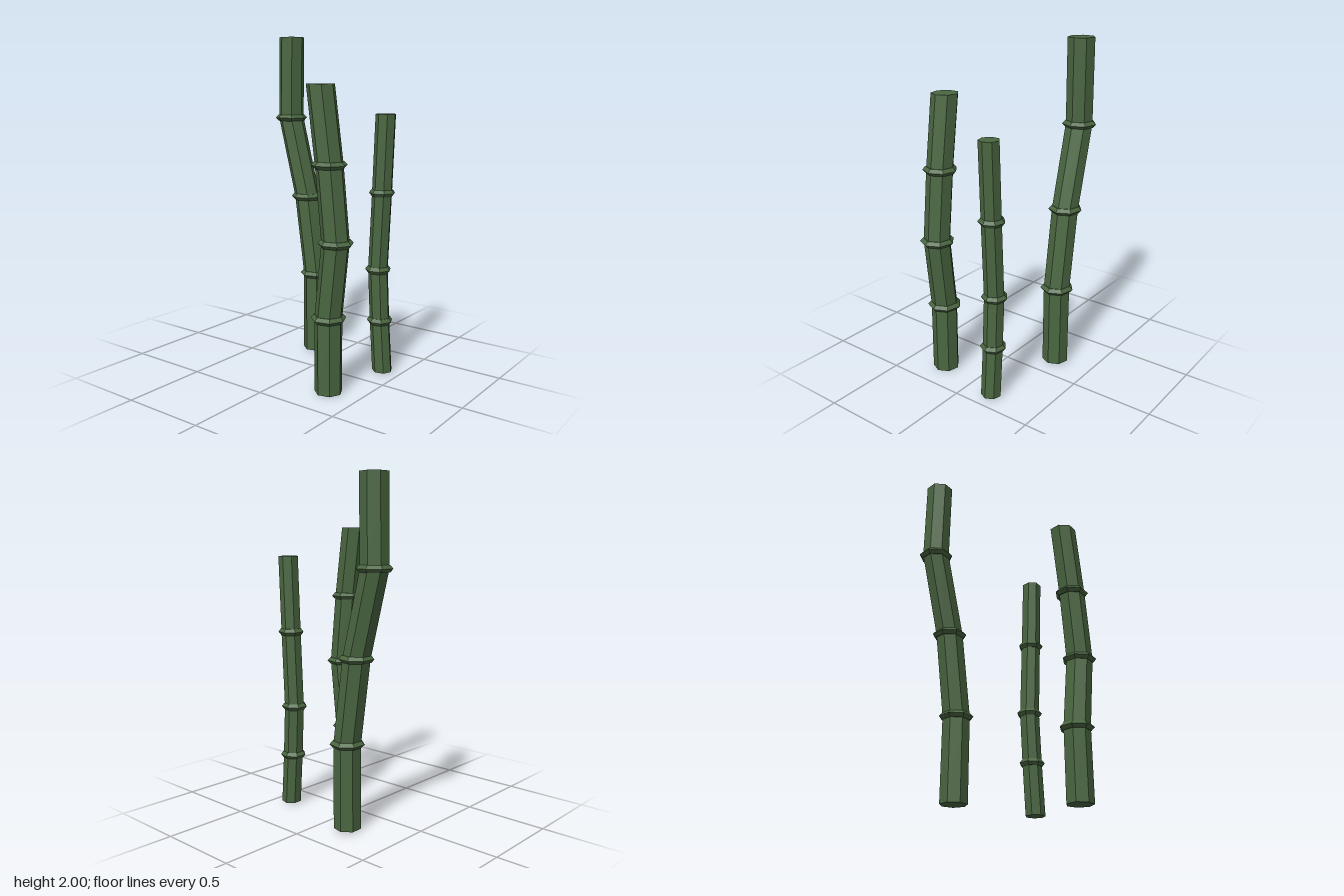
import * as THREE from 'three';

const SIDES = 7;

// Heptagonal tube whose level sections follow a path of [y, z] points
function bentStalk(path, radius) {
  const geo = new THREE.CylinderGeometry(radius, radius, 1, SIDES, path.length - 1);
  const pos = geo.attributes.position;
  for (let i = 0; i < pos.count; i++) {
    const k = Math.round((pos.getY(i) + 0.5) * (path.length - 1));
    const [y, z] = path[k];
    pos.setY(i, y);
    pos.setZ(i, pos.getZ(i) + z);
  }
  geo.computeVertexNormals();
  return geo;
}

// Bevelled ridge around a joint
function jointRing(radius, ringRadius) {
  const h = 0.02;
  const profile = [[radius * 0.97, -h], [radius * 1.04, -h], [ringRadius, 0], [radius * 1.04, h], [radius * 0.97, h]];
  return new THREE.LatheGeometry(profile.map(([r, y]) => new THREE.Vector2(r, y)), SIDES);
}

export function createModel() {
  const model = new THREE.Group();
  model.name = 'bambooStalks';
  const green = new THREE.MeshStandardMaterial({ color: 0x4a6741, flatShading: true });
  green.name = 'bambooGreen';

  // Each path runs from the foot through the joints to the top
  const stalks = [
    { name: 'rightStalk', x: -0.255, r: 0.08, ring: 0.102,
      path: [[0, 0.30], [0.43, 0.298], [0.86, 0.344], [1.285, 0.3], [1.715, 0.24]] },
    { name: 'frontStalk', x: 0.174, r: 0.06, ring: 0.078,
      path: [[0.01, 0.39], [0.32, 0.368], [0.63, 0.352], [1.09, 0.372], [1.545, 0.389]] },
    { name: 'backStalk', x: 0.254, r: 0.08, ring: 0.102,
      path: [[0.01, -0.165], [0.51, -0.165], [1.005, -0.235], [1.5, -0.363], [2, -0.357]] },
  ];

  for (const { name, x, r, ring, path } of stalks) {
    const group = new THREE.Group();
    group.name = name;
    group.position.x = x;

    const stem = new THREE.Mesh(bentStalk(path, r), green);
    stem.name = 'stem';
    group.add(stem);

    // Rings at the inner joints
    const ringGeo = jointRing(r, ring);
    for (const [y, z] of path.slice(1, -1)) {
      const joint = new THREE.Mesh(ringGeo, green);
      joint.name = 'jointRing';
      joint.position.set(0, y, z);
      group.add(joint);
    }
    model.add(group);
  }
  return model;
}
